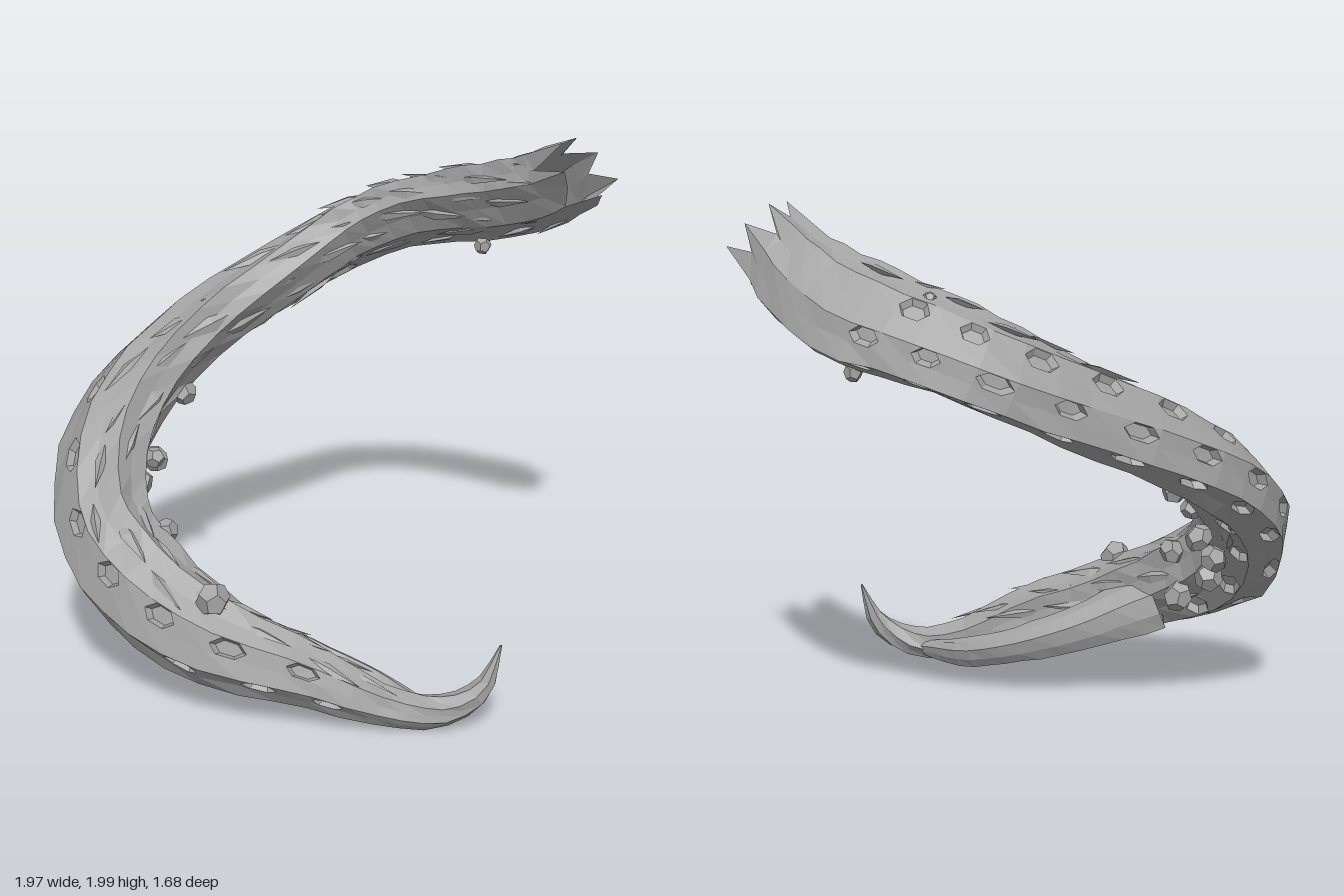
import * as THREE from 'three';

const grey = new THREE.MeshStandardMaterial({ color: 0xa3a3a3, flatShading: true, side: THREE.DoubleSide });
grey.name = 'barkGrey';

// small seeded generator
let seed = 11;
const rnd = () => (seed = (seed * 16807) % 2147483647) / 2147483647;
const V = (x, y, z) => new THREE.Vector3(x, y, z);

// stations are [x, y, z, radius, skew]; skew flattens the section along a diagonal
function makePath(stations) {
  const curve = new THREE.CatmullRomCurve3(stations.map(s => V(s[0], s[1], s[2])));
  const sample = (t, k) => {
    const f = t * (stations.length - 1), i = Math.min(Math.floor(f), stations.length - 2);
    return THREE.MathUtils.lerp(stations[i][k], stations[i + 1][k], f - i);
  };
  // centre, tangent, and a function giving the skin offset at an angle (0 = outward from the coil)
  const section = t => {
    const P = curve.getPoint(t), T = curve.getTangent(t), r = sample(t, 3), skew = sample(t, 4);
    const N = V(P.x - 0.1, 0, P.z);
    N.addScaledVector(T, -N.dot(T)).normalize();
    const B = T.clone().cross(N);
    const offset = (a, flat = 1) => N.clone().multiplyScalar(Math.cos(a) * r)
      .addScaledVector(B, Math.sin(a + skew) * r * flat);
    return { P, T, r, offset };
  };
  return { curve, section };
}

// ridged skin swept along a path, with hexagonal pits sunk in chosen cells
function sweep({ curve, section }, rows, sides, { flat = 1, spikes = null, twist = 0, pit = () => false }) {
  const ridge = Array.from({ length: sides }, (_, j) => (j % 2 ? 0.92 : 1.05) + (rnd() - 0.5) * 0.05);
  const rings = [], angles = [];
  for (let i = 0; i <= rows; i++) {
    const t = i / rows, { P, T, offset } = section(t), ring = [], ang = [];
    for (let j = 0; j < sides; j++) {
      const a = (j / sides) * Math.PI * 2 + twist * t;
      const p = P.clone().addScaledVector(offset(a, flat), ridge[j] * (1 + (rnd() - 0.5) * 0.08));
      if (i === 0 && spikes) p.addScaledVector(T, -spikes[j % spikes.length]);
      p.y = THREE.MathUtils.clamp(p.y, 0, 2);
      ring.push(p);
      ang.push(a);
    }
    rings.push(ring);
    angles.push(ang);
  }
  const out = [];
  const tri = (...ps) => ps.forEach(p => out.push(p.x, p.y, p.z));
  const quad = (a, b, c, d) => { tri(a, b, c); tri(a, c, d); };
  const mid = (p, q) => p.clone().lerp(q, 0.5);
  for (let i = 0; i < rows; i++) {
    const axis = curve.getPoint((i + 0.5) / rows);
    for (let j = 0; j < sides; j++) {
      const k = (j + 1) % sides;
      const a = rings[i][j], b = rings[i][k], c = rings[i + 1][k], d = rings[i + 1][j];
      if (!pit(i, j, angles[i][j], i / rows)) { quad(a, b, c, d); continue; }
      const outer = [a, mid(a, b), b, c, mid(c, d), d];
      const centre = mid(mid(a, b), mid(c, d));
      const floor = centre.clone().lerp(axis, 0.2);
      const rim = outer.map((p, n) => (n % 3 === 1 ? p.clone().lerp(centre, 0.03)
        : p.clone().lerp(outer[5 - n], 0.24).lerp(centre, 0.08)));
      const base = rim.map(p => p.clone().lerp(centre, 0.25).add(floor).sub(centre));
      for (let n = 0; n < 6; n++) {
        const m = (n + 1) % 6;
        quad(outer[n], outer[m], rim[m], rim[n]);
        quad(rim[n], rim[m], base[m], base[n]);
        tri(base[n], base[m], floor);
      }
    }
  }
  const g = new THREE.BufferGeometry();
  g.setAttribute('position', new THREE.Float32BufferAttribute(out, 3));
  g.computeVertexNormals();
  return g;
}

// direction the pitted side faces: above on the upper limb, below on the lower
const pitSide = t => THREE.MathUtils.lerp(-0.7, 1.1, t);

export function createModel() {
  const group = new THREE.Group();
  const add = (name, geometry) => {
    const m = new THREE.Mesh(geometry, grey);
    m.name = name;
    group.add(m);
    return m;
  };

  // main coiled limb, from the splintered end down to the hooked tip
  const limb = makePath([
    [0.79, 1.84, -0.43, 0.125, 0.3], [0.65, 1.75, -0.53, 0.145, 0.5], [0.43, 1.66, -0.635, 0.16, 0.64],
    [0.15, 1.59, -0.69, 0.153, 0.64], [-0.1, 1.49, -0.665, 0.15, 0.55], [-0.35, 1.34, -0.48, 0.155, 0.45],
    [-0.6, 1.175, -0.25, 0.16, 0.35], [-0.77, 1.0, 0.005, 0.167, 0.25], [-0.82, 0.8, 0.265, 0.17, 0.2],
    [-0.74, 0.57, 0.465, 0.175, 0.28], [-0.52, 0.42, 0.6, 0.17, 0.3], [-0.22, 0.3, 0.68, 0.155, 0.2],
    [0.12, 0.21, 0.66, 0.115, 0.1], [0.4, 0.1, 0.61, 0.075, 0], [0.6, 0.075, 0.55, 0.06, 0],
    [0.74, 0.16, 0.5, 0.04, 0], [0.8, 0.33, 0.46, 0.004, 0],
  ]);
  add('limb', sweep(limb, 42, 14, {
    twist: 1.3,
    spikes: [0.13, 0.02, 0.05, 0.15, 0, 0.08, 0.13, -0.05, 0.14, 0.03, 0.12, -0.04, 0.1, 0],
    pit: (i, j, a, t) => t > 0.12 && t < 0.78 && j % 2 === 0 && (i + j / 2) % 2 === 0
      && Math.cos(a - pitSide(t)) > (t > 0.4 ? -0.2 : 0.1),
  }));

  // second strand that leaves the limb and runs back under the hook
  const strand = makePath([
    [-0.42, 0.34, 0.54, 0.08, 0], [-0.15, 0.23, 0.46, 0.06, 0], [0.12, 0.14, 0.425, 0.045, 0],
    [0.35, 0.08, 0.45, 0.04, 0], [0.55, 0.06, 0.52, 0.02, 0],
  ]);
  add('lowerStrand', sweep(strand, 14, 8, { flat: 1.5, twist: 0.5 }));

  // faceted nodules clustered under the inside of the bend: x, y, z, radius
  const nodules = [
    [0.4, 1.46, -0.71, 0.035], [-0.22, 0.465, 0.69, 0.066], [-0.62, 0.8, 0.25, 0.042],
    [-0.62, 0.95, -0.07, 0.05], [-0.68, 0.73, 0.1, 0.052], [-0.73, 0.64, 0.14, 0.056],
    [-0.69, 0.53, 0.26, 0.056], [-0.54, 0.4, 0.41, 0.06], [-0.51, 0.58, 0.42, 0.05],
    [-0.75, 0.79, 0.25, 0.045], [-0.36, 0.46, 0.6, 0.04], [0.14, 1.72, -0.64, 0.025],
    [-0.08, 0.36, 0.66, 0.02], [-0.38, 0.26, 0.5, 0.045],
  ];
  nodules.forEach(([x, y, z, r], i) => {
    const m = add('nodule' + (i + 1), new THREE.DodecahedronGeometry(r));
    m.position.set(x, y, z);
    m.rotation.set(i, i * 1.7, i * 0.6);
    m.scale.set(1, 1.1, 0.95);
  });

  // long bark slivers overlapping along the side away from the pits
  const sliver = new THREE.OctahedronGeometry(1);
  for (let i = 0; i < 80; i++) {
    const t = 0.05 + 0.75 * (i / 80), a = pitSide(t) + 1.6 + ((i * 0.618) % 1) * 3.1;
    const { P, T, r, offset } = limb.section(t);
    const skin = offset(a), out = skin.clone().normalize();
    const across = T.clone().cross(out);
    const along = T.clone().addScaledVector(out, 0.04).addScaledVector(across, 0.12 + rnd() * 0.12).normalize();
    const side = along.clone().cross(out).normalize();
    const m = add('barkSliver' + (i + 1), sliver);
    m.quaternion.setFromRotationMatrix(new THREE.Matrix4().makeBasis(side, along, side.clone().cross(along)));
    m.position.copy(P).addScaledVector(skin, 0.92);
    m.scale.set(r * (0.12 + rnd() * 0.1), 0.1 + rnd() * 0.08, r * 0.1);
  }
  return group;
}
